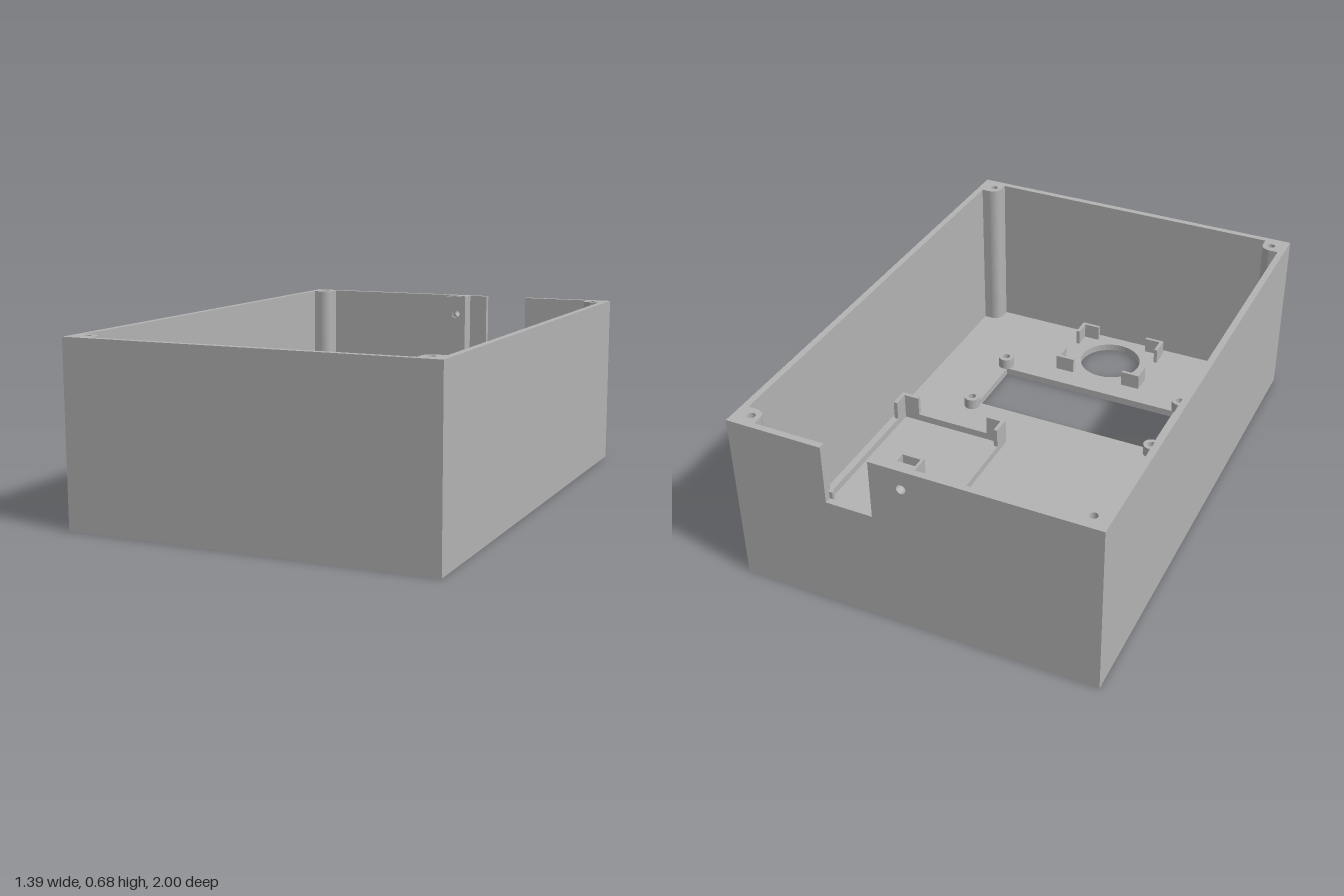
import * as THREE from 'three';

// Main dimensions of the open-topped enclosure
const W = 0.695, D = 1, H = 0.683, T = 0.025, FLOOR = 0.03;

const rect = (x0, y0, x1, y1, Kind = THREE.Shape) => {
  const s = new Kind();
  s.moveTo(x0, y0);
  s.lineTo(x1, y0);
  s.lineTo(x1, y1);
  s.lineTo(x0, y1);
  s.closePath();
  return s;
};

const circle = (x, y, r, Kind = THREE.Path) => {
  const s = new Kind();
  s.absarc(x, y, r, 0, Math.PI * 2, false);
  return s;
};

export function createModel() {
  const group = new THREE.Group();
  group.name = 'enclosure';
  const grey = new THREE.MeshStandardMaterial({ color: 0xb3b3b3 });
  grey.name = 'grey plastic';

  const add = (name, geometry) => {
    const mesh = new THREE.Mesh(geometry, grey);
    mesh.name = name;
    group.add(mesh);
    return mesh;
  };
  const box = (name, x0, x1, y0, y1, z0, z1) =>
    add(name, new THREE.BoxGeometry(x1 - x0, y1 - y0, z1 - z0)
      .translate((x0 + x1) / 2, (y0 + y1) / 2, (z0 + z1) / 2));
  const extrude = (shape, depth) =>
    new THREE.ExtrudeGeometry(shape, { depth, bevelEnabled: false, curveSegments: 24 });
  // Plan shape drawn in (x, -z), raised from y0 to y1
  const raise = (name, shape, y0, y1) =>
    add(name, extrude(shape, y1 - y0).rotateX(-Math.PI / 2).translate(0, y0, 0));
  // Upright shape drawn in (x, y), running from z0 to z1
  const upright = (name, shape, z0, z1) =>
    add(name, extrude(shape, z1 - z0).translate(0, 0, z0));

  // Floor with slot, display window and round opening
  const floor = rect(-W, -D, W, D);
  floor.holes.push(
    rect(-0.42, 0.714, -0.162, 0.762, THREE.Path),
    rect(-0.39, -0.55, 0.39, -0.265, THREE.Path),
    circle(0, -0.797, 0.131)
  );
  raise('floor', floor, 0, FLOOR);

  // Side and front walls
  box('leftWall', W - T, W, FLOOR, H, -D, D);
  box('rightWall', -W, -W + T, FLOOR, H, -D, D);
  box('frontWall', -W + T, W - T, FLOOR, H, D - T, D);

  // Back wall with cable notch and screw hole
  const holeX = 0.023, holeY = 0.607, holeR = 0.018;
  const back = new THREE.Shape();
  [[-W + T, FLOOR], [W - T, FLOOR], [W - T, H], [0.323, H], [0.323, 0.45],
    [0.143, 0.45], [0.143, H], [-W + T, H]]
    .forEach(([x, y], i) => (i ? back.lineTo(x, y) : back.moveTo(x, y)));
  back.closePath();
  back.holes.push(circle(holeX, holeY, holeR));
  upright('backWall', back, -D, -D + T);

  // Bored mounting post with a nut slot open at the top
  const px0 = -0.02, px1 = 0.067, slotY = 0.55;
  for (const [z0, z1] of [[-D + T, -0.955], [-0.917, -0.907]]) {
    const slab = rect(px0, FLOOR, px1, H);
    slab.holes.push(circle(holeX, holeY, holeR));
    upright('mountingPost', slab, z0, z1);
  }
  const nutSlot = new THREE.Shape();
  [[px0, FLOOR], [px1, FLOOR], [px1, H], [px1 - 0.01, H], [px1 - 0.01, slotY],
    [px0 + 0.01, slotY], [px0 + 0.01, H], [px0, H]]
    .forEach(([x, y], i) => (i ? nutSlot.lineTo(x, y) : nutSlot.moveTo(x, y)));
  nutSlot.closePath();
  upright('mountingPostNutSlot', nutSlot, -0.955, -0.917);

  // Corner screw posts, rounded toward the inside, with blind holes
  const size = 0.073, r = 0.037;
  for (const sx of [-1, 1]) for (const sz of [-1, 1]) {
    const cornerShape = () => {
      const X = (v) => sx * (W - T - v), Y = (v) => sz * (D - T - v);
      const s = new THREE.Shape();
      s.moveTo(X(0), Y(0));
      s.lineTo(X(size), Y(0));
      s.lineTo(X(size), Y(size - r));
      s.quadraticCurveTo(X(size - 0.004), Y(size - 0.004), X(size - r), Y(size));
      s.lineTo(X(0), Y(size));
      s.closePath();
      return s;
    };
    raise('cornerPost', cornerShape(), FLOOR, 0.45);
    const top = cornerShape();
    top.holes.push(circle(sx * 0.632, sz * 0.942, 0.015));
    raise('cornerPostTop', top, 0.45, H);
  }

  // Standoffs around the display window
  for (const x of [-0.405, 0.405]) for (const z of [0.24, 0.575]) {
    const ring = circle(x, -z, 0.033, THREE.Shape);
    ring.holes.push(circle(x, -z, 0.016));
    raise('standoff', ring, FLOOR, 0.075);
  }

  // L-shaped corner brackets around a rectangle
  const brackets = (name, x0, x1, z0, z1, height, t) => {
    const arm = 0.08;
    for (const [x, dx] of [[x0, 1], [x1, -1]]) for (const [z, dz] of [[z0, 1], [z1, -1]]) {
      const s = new THREE.Shape();
      [[0, 0], [arm, 0], [arm, t], [t, t], [t, arm], [0, arm]].forEach(([a, b], i) => {
        const p = [x + dx * a, -(z + dz * b)];
        if (i) s.lineTo(...p); else s.moveTo(...p);
      });
      s.closePath();
      raise(name, s, FLOOR, FLOOR + height);
    }
  };
  brackets('sensorBracket', -0.193, 0.193, 0.643, 0.947, 0.065, 0.014);
  brackets('trayBracket', 0.161, 0.635, -0.63, 0.063, 0.11, 0.016);

  // Low rim joining the tray brackets
  const rim = rect(0.161, -0.063, 0.635, 0.63);
  rim.holes.push(rect(0.177, -0.047, 0.619, 0.614, THREE.Path));
  raise('trayRim', rim, FLOOR, FLOOR + 0.03);

  return group;
}
